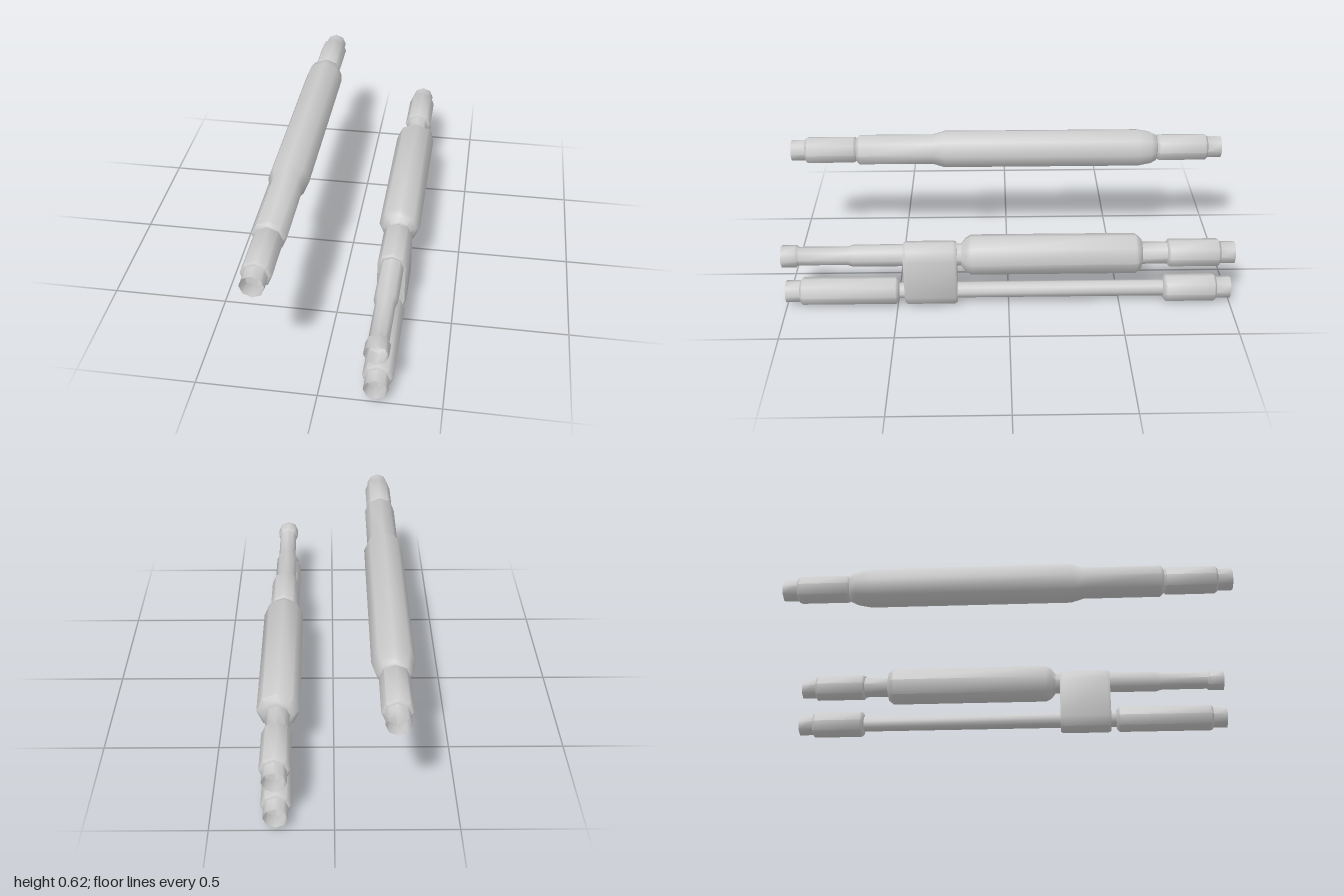
import * as THREE from 'three';
import { toCreasedNormals } from 'three/addons/utils/BufferGeometryUtils.js';

const material = new THREE.MeshStandardMaterial({ color: 0xcccccc, side: THREE.DoubleSide });
const CREASE = 0.9; // keeps the octagon sides smooth, hard steps sharp

// Stretches of a pipe run from back to front: [z, radius]
const END = 0.05, SLEEVE = 0.063, C = 0.01;
const sleeve = (z0, z1) => [[z0, SLEEVE - C], [z0 + C, SLEEVE], [z1 - C, SLEEVE], [z1, SLEEVE - C]];
const backEnd = [[-1, END], [-0.935, END], ...sleeve(-0.935, -0.7)];
const frontEnd = [[0.935, END], [1, END]];

// Open eight-sided pipe along z
function pipe(name, x, y, profile) {
  const points = profile.map(([z, r]) => new THREE.Vector2(r, z));
  const geometry = new THREE.LatheGeometry(points, 8);
  geometry.rotateX(Math.PI / 2);
  const mesh = new THREE.Mesh(toCreasedNormals(geometry, CREASE), material);
  mesh.name = name;
  mesh.position.set(x, y, 0);
  return mesh;
}

// Block whose outline wraps both pipes: an octagon stretched upwards
function bracket(x, yLow, yHigh, zBack, zFront, r) {
  const outline = [];
  const halfRound = (start, cy) => {
    for (let i = 0; i <= 4; i++) {
      const a = start + (i * Math.PI) / 4;
      outline.push(new THREE.Vector2(r * Math.cos(a), cy + r * Math.sin(a)));
    }
  };
  halfRound(Math.PI, yLow);
  halfRound(0, yHigh);
  const bevel = 0.012;
  const geometry = new THREE.ExtrudeGeometry(new THREE.Shape(outline), {
    depth: zFront - zBack - 2 * bevel,
    bevelThickness: bevel, bevelSize: 0.007, bevelOffset: -0.007, bevelSegments: 1,
  });
  const mesh = new THREE.Mesh(toCreasedNormals(geometry, CREASE), material);
  mesh.name = 'bracket';
  mesh.position.set(x, 0, zBack + bevel);
  return mesh;
}

export function createModel() {
  const group = new THREE.Group();
  group.name = 'pipes';
  const x = 0.233, yLow = 0.065, yHigh = 0.253;

  // Single thick pipe
  group.add(pipe('thickPipe', -0.237, 0.535, [
    ...backEnd,
    [-0.695, 0.064], [-0.67, 0.077], [-0.61, 0.089],
    [0.29, 0.089], [0.345, 0.072], [0.685, 0.072], [0.695, 0.062],
    ...sleeve(0.7, 0.935), ...frontEnd,
  ]));

  // Upper pipe of the pair, with the wide barrel
  group.add(pipe('upperPipe', x, yHigh, [
    ...backEnd,
    [-0.7, END], [-0.59, END], [-0.585, 0.07], [-0.56, 0.091],
    [0.165, 0.091], [0.19, 0.077], [0.21, END],
    [0.685, END], [0.71, 0.042], [0.925, 0.042], ...frontEnd,
  ]));

  // Lower pipe of the pair, with the thin middle
  group.add(pipe('lowerPipe', x, yLow, [
    ...backEnd,
    [-0.695, 0.037], [0.49, 0.037],
    ...sleeve(0.495, 0.935), ...frontEnd,
  ]));

  group.add(bracket(x, yLow, yHigh, 0.23, 0.465, 0.064));
  return group;
}
